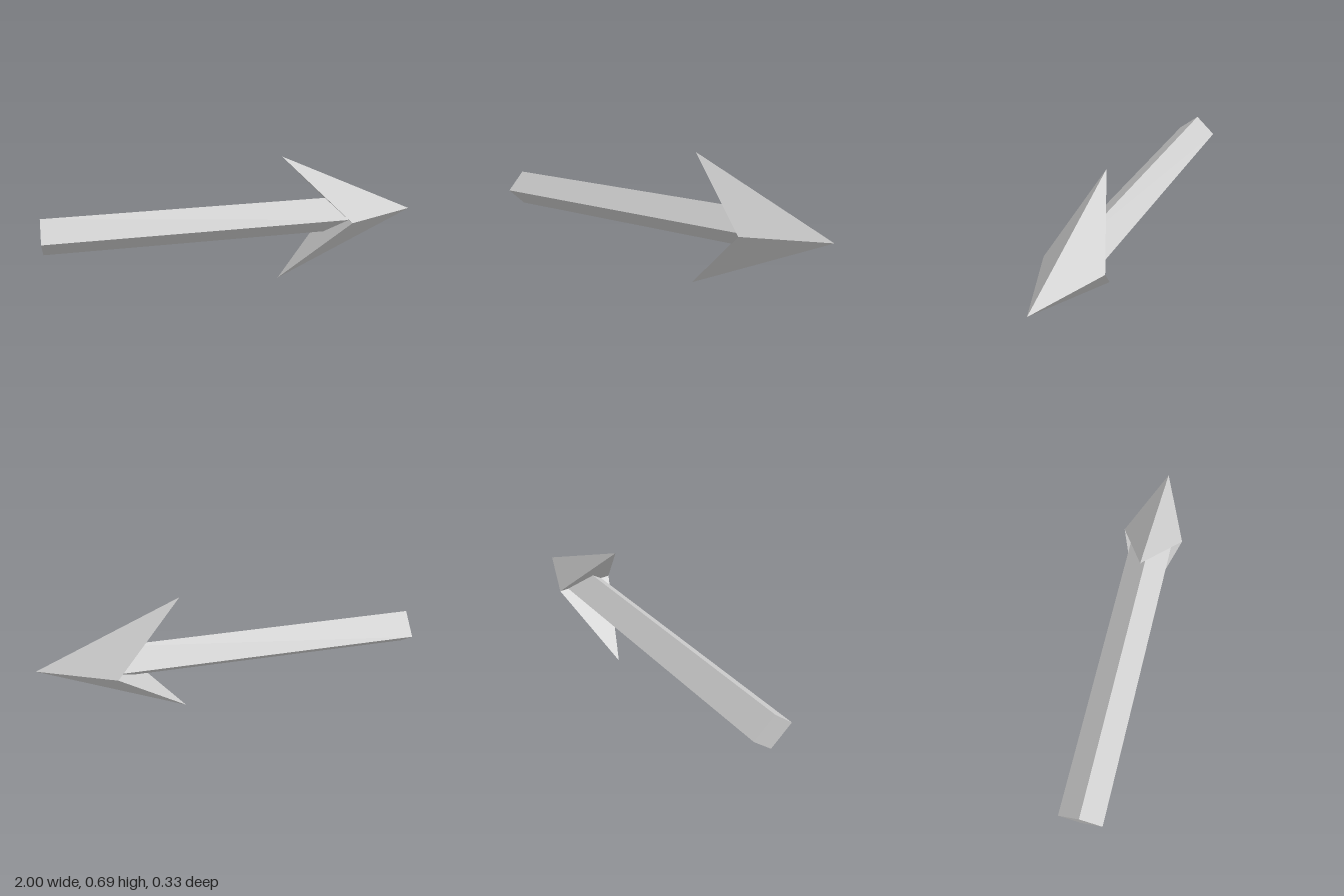
import * as THREE from 'three';

export function createModel() {
  const group = new THREE.Group();
  const grey = new THREE.MeshStandardMaterial({ color: 0xcccccc, flatShading: true });
  grey.name = 'lightGrey';

  const axisY = 0.35;
  const add = (name, geometry) => {
    const mesh = new THREE.Mesh(geometry, grey);
    mesh.name = name;
    group.add(mesh);
  };

  // Shaft: four-sided bar with a diamond section, running into the head
  const shaftLength = 1.6;
  const shaft = new THREE.CylinderGeometry(1, 1, shaftLength, 4);
  shaft.rotateZ(Math.PI / 2);
  shaft.scale(1, 0.097, 0.112);
  shaft.translate(-1 + shaftLength / 2, axisY, 0);
  add('shaft', shaft);

  // Head: swept-back barbs, each with two outer faces and one rear face
  const tip = [1, axisY, 0];
  const front = [0.597, axisY, 0.165];
  const back = [0.597, axisY, -0.165];
  const upper = [0.25, 0.693, 0];
  const lower = [0.24, 0, 0];
  const faces = [
    [tip, upper, front], [tip, back, upper], [upper, back, front],
    [tip, front, lower], [tip, lower, back], [lower, front, back],
  ];
  const head = new THREE.BufferGeometry();
  head.setAttribute('position', new THREE.Float32BufferAttribute(faces.flat(2), 3));
  head.computeVertexNormals();
  add('arrowHead', head);

  return group;
}
